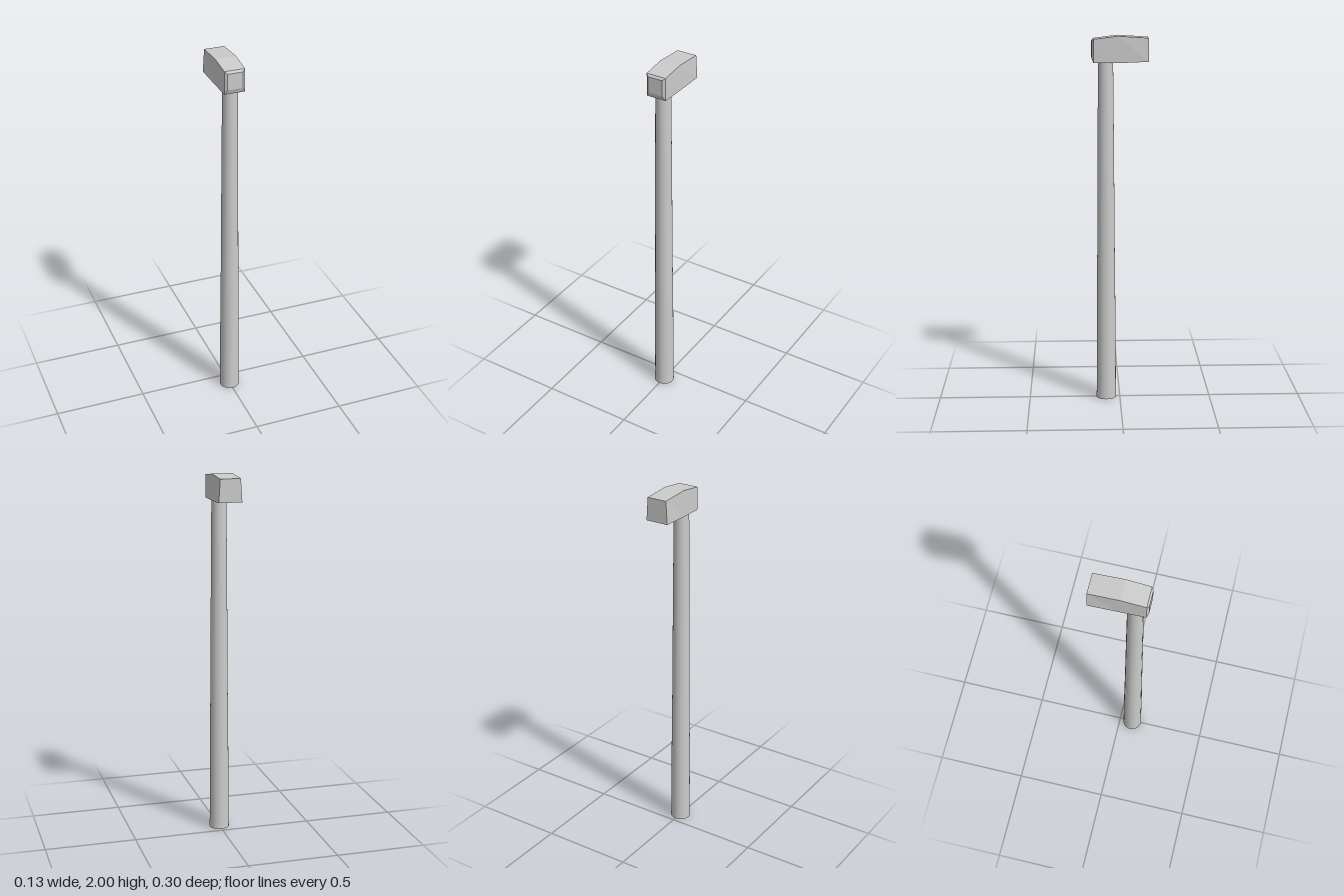
import * as THREE from 'three';

// Flat-shaded solid skinned over four-cornered sections running back to front
function loftSections(sections) {
  const rings = sections.map(({ z, bottom, top, halfBottom, halfTop }) => [
    [-halfBottom, bottom, z], [halfBottom, bottom, z],
    [halfTop, top, z], [-halfTop, top, z],
  ]);
  const positions = [];
  const quad = (a, b, c, d) => positions.push(...a, ...b, ...c, ...a, ...c, ...d);
  for (let i = 0; i < rings.length - 1; i++) {
    const back = rings[i], front = rings[i + 1];
    for (let j = 0; j < 4; j++) {
      const k = (j + 1) % 4;
      quad(back[j], back[k], front[k], front[j]);
    }
  }
  const first = rings[0], last = rings[rings.length - 1];
  quad(first[3], first[2], first[1], first[0]);
  quad(last[0], last[1], last[2], last[3]);
  const geometry = new THREE.BufferGeometry();
  geometry.setAttribute('position', new THREE.Float32BufferAttribute(positions, 3));
  geometry.computeVertexNormals();
  return geometry;
}

export function createModel() {
  const group = new THREE.Group();
  group.name = 'hammer';

  // Head: square striking end at the back, ridge in the middle, chamfered nose
  const head = new THREE.Mesh(
    loftSections([
      { z: -0.15, bottom: 1.867, top: 1.99, halfBottom: 0.063, halfTop: 0.055 },
      { z: 0.012, bottom: 1.86, top: 2.0, halfBottom: 0.057, halfTop: 0.056 },
      { z: 0.14, bottom: 1.86, top: 1.984, halfBottom: 0.055, halfTop: 0.055 },
      { z: 0.15, bottom: 1.885, top: 1.972, halfBottom: 0.041, halfTop: 0.041 },
    ]),
    new THREE.MeshStandardMaterial({ color: 0xcccccc, flatShading: true })
  );
  head.name = 'head';
  group.add(head);

  // Handle: long round shaft, slightly thicker toward the grip
  const profile = [[0.055, 0], [0.053, 0.05], [0.052, 0.4], [0.048, 0.8], [0.044, 1.4], [0.04, 1.87]]
    .map(([r, y]) => new THREE.Vector2(r, y));
  const material = new THREE.MeshStandardMaterial({ color: 0xcccccc });
  const shaft = new THREE.Mesh(new THREE.LatheGeometry(profile, 24), material);
  shaft.name = 'handle';
  shaft.position.z = 0.075;
  group.add(shaft);

  // Flat end of the handle
  const butt = new THREE.Mesh(new THREE.CircleGeometry(0.055, 24), material);
  butt.name = 'handleEnd';
  butt.rotation.x = Math.PI / 2;
  butt.position.z = 0.075;
  group.add(butt);

  return group;
}
